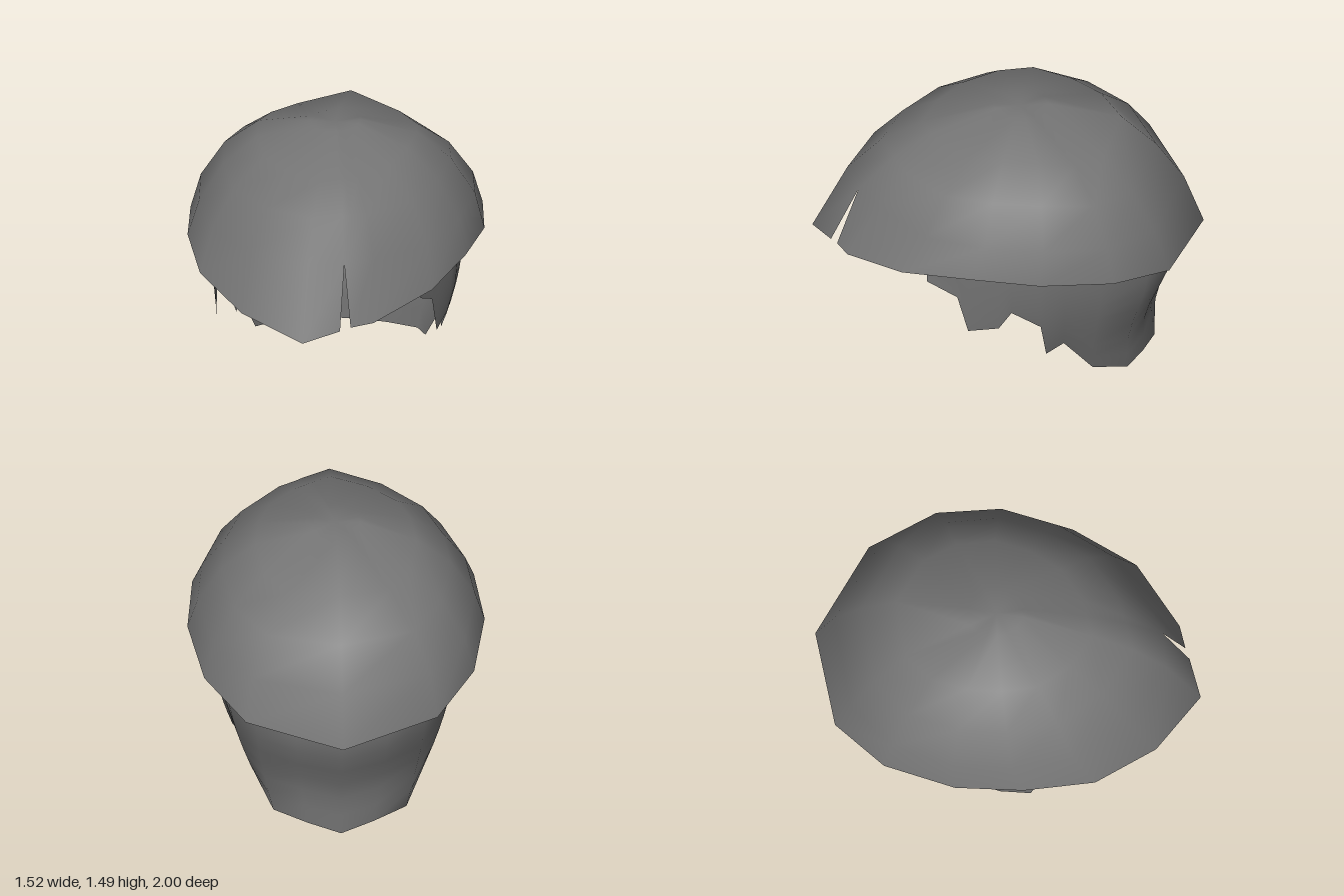
import * as THREE from 'three';
import { mergeVertices } from 'three/addons/utils/BufferGeometryUtils.js';

// Smooth surface through rows of points; rows run bottom to top, columns front -> +x -> back -> -x
function loft(rows, closed, skip = () => false) {
  const n = rows[0].length, index = [];
  for (let r = 0; r < rows.length - 1; r++) {
    for (let c = 0; c < (closed ? n : n - 1); c++) {
      if (skip(r, c)) continue;
      const d = (c + 1) % n;
      const a = r * n + c, b = r * n + d, e = a + n, f = b + n;
      index.push(a, b, f, a, f, e);
    }
  }
  let geo = new THREE.BufferGeometry();
  geo.setAttribute('position', new THREE.Float32BufferAttribute(rows.flat(2), 3));
  geo.setIndex(index);
  geo = mergeVertices(geo, 1e-4);
  // drop triangles collapsed by merging
  const src = geo.index.array, keep = [];
  for (let i = 0; i < src.length; i += 3) {
    const [a, b, c] = [src[i], src[i + 1], src[i + 2]];
    if (a !== b && b !== c && a !== c) keep.push(a, b, c);
  }
  geo.setIndex(keep);
  geo.computeVertexNormals();
  return geo;
}

const flip = ([x, ...rest]) => [-x, ...rest];

function capGeometry() {
  // lower rim, x y z, with the two sides of the fringe notch at columns 1 and 2
  const half = [
    [0.34, 0.805, 0.83], [0.60, 0.88, 0.56], [0.72, 0.915, 0.21],
    [0.76, 0.895, -0.14], [0.69, 0.85, -0.52], [0.49, 0.78, -0.81],
  ];
  const rim = [
    [0, 0.745, 1], [0.18, 0.785, 0.91], [0.23, 0.795, 0.88], ...half,
    [0, 0.73, -1], ...half.map(flip).reverse(),
  ];
  // rings above the rim: width scale, front z, back z, y at front, side and back,
  // then how far the front and back quarters sink between them
  const rings = [
    [0.934, 0.82, -0.90, 1.11, 1.08, 1.01, 0.025, 0.03],
    [0.77, 0.65, -0.76, 1.28, 1.28, 1.22, 0.025, 0.04],
    [0.54, 0.44, -0.58, 1.39, 1.42, 1.40, 0.02, 0.05],
    [0.17, 0.08, -0.21, 1.495, 1.495, 1.49, 0.01, 0.015],
    [0, -0.06, -0.06, 1.483, 1.483, 1.483, 0, 0],
  ];
  const rows = [rim, ...rings.map(([w, zf, zb, yf, ys, yb, df, db]) => rim.map(([x, , z]) => {
    const quarter = 4 * (x / 0.76) ** 2 * z * z;
    return [
      x * w,
      ys + ((z > 0 ? yf : yb) - ys) * z * z - (z > 0 ? df : db) * quarter,
      (zf + zb) / 2 + z * (zf - zb) / 2,
    ];
  }))];
  rows[1][1] = rows[1][2] = [0.18, 1.1, 0.77]; // notch tip
  return loft(rows, true, (r, c) => r === 0 && c === 1);
}

function lowerHairGeometry() {
  // each lock column: top x, top z, bottom x, bottom y, bottom z
  const front = [
    [0.51, 0.44, 0.52, 0.76, 0.43], [0.56, 0.28, 0.555, 0.68, 0.275],
    [0.58, 0.22, 0.57, 0.475, 0.22], [0.63, 0.065, 0.60, 0.51, 0.065],
    [0.645, 0, 0.63, 0.63, 0], [0.65, -0.15, 0.60, 0.515, -0.15],
    [0.645, -0.18, 0.53, 0.29, -0.18], [0.63, -0.27, 0.515, 0.345, -0.27],
  ];
  const back = [
    [0.58, -0.46, 0.41, 0.11, -0.42], [0.44, -0.70, 0.34, 0.055, -0.60],
    [0.24, -0.83, 0.17, 0.03, -0.685],
  ];
  const rightStep = [-0.63, -0.27, -0.445, 0.165, -0.27];
  const columns = [
    ...front, ...back, [0, -0.89, 0, 0.005, -0.75],
    ...back.map(flip).reverse(), rightStep, ...front.map(flip).reverse(),
  ].map(([tx, tz, bx, by, bz]) => [tx, tz, Math.sign(tx) * Math.abs(bx), by, bz]);

  const rows = [], steps = 8, topY = 0.9;
  for (let i = steps; i >= 0; i--) {
    const t = i / steps, s = THREE.MathUtils.smoothstep(t, 0.22, 0.8); // nape curves in, then drops straight
    rows.push(columns.map(([tx, tz, bx, by, bz]) => [
      tx + (bx - tx) * t * t, topY + (by - topY) * t, tz + (bz - tz) * s,
    ]));
  }
  // upper edge tucked inside the cap
  rows.push(columns.map(([tx, tz]) => [tx, 0.96, tz * 0.98]));
  return loft(rows, false);
}

export function createModel() {
  const hair = new THREE.MeshStandardMaterial({ color: 0x747474, side: THREE.DoubleSide });
  hair.name = 'hairGrey';
  const group = new THREE.Group();
  group.name = 'hair';
  const add = (name, geo) => {
    const mesh = new THREE.Mesh(geo, hair);
    mesh.name = name;
    group.add(mesh);
  };
  add('hairCap', capGeometry());
  add('lowerHair', lowerHairGeometry());
  return group;
}
